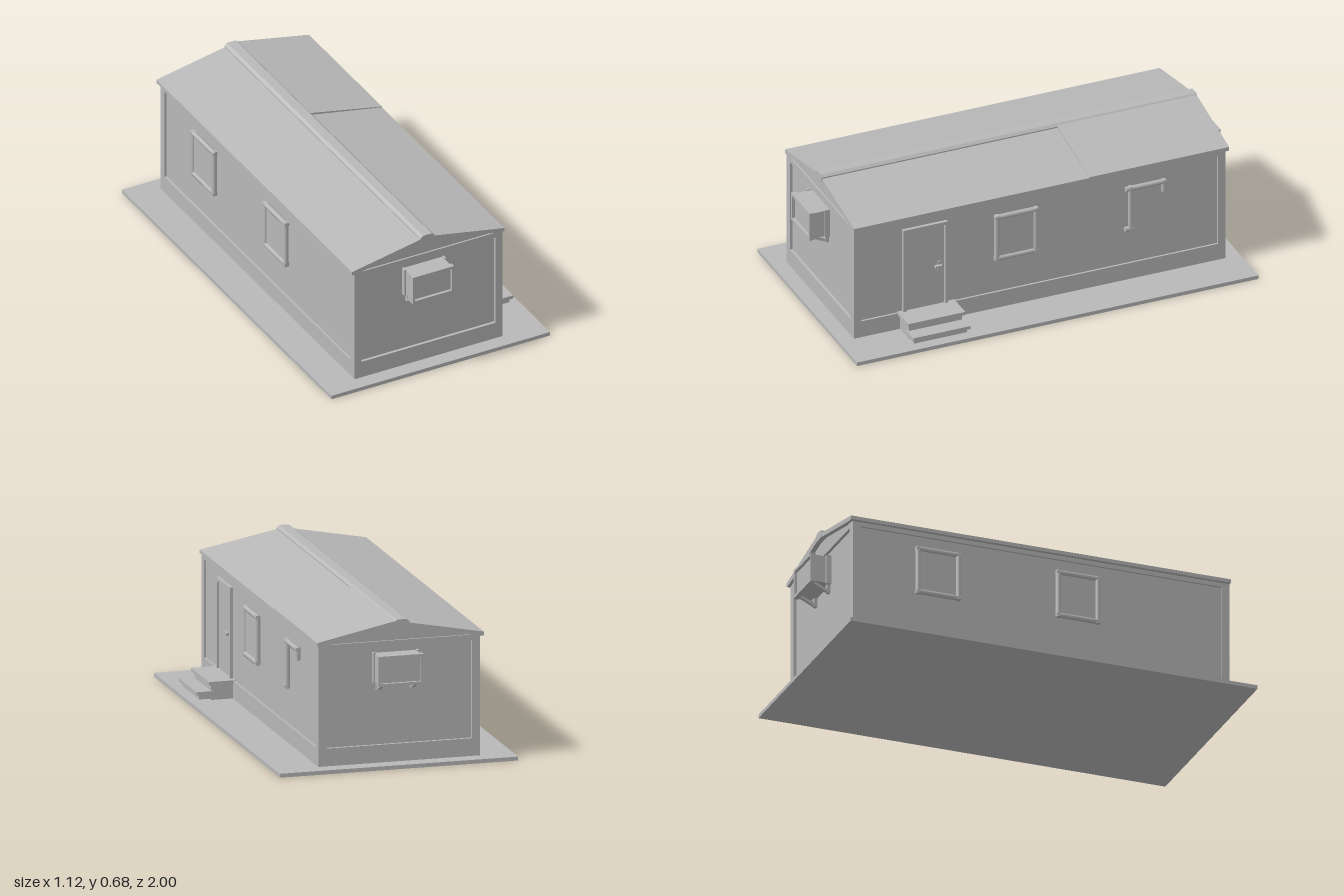
import * as THREE from 'three';

export function createModel() {
  const model = new THREE.Group();
  const grey = new THREE.MeshStandardMaterial({ color: 0xb8b8b8 });
  grey.name = 'plain grey';

  const add = (name, geometry, parent = model) => {
    const mesh = new THREE.Mesh(geometry, grey);
    mesh.name = name;
    parent.add(mesh);
    return mesh;
  };
  // Box given by its limits on each axis
  const box = (name, x0, x1, y0, y1, z0, z1, parent) => {
    const mesh = add(name, new THREE.BoxGeometry(x1 - x0, y1 - y0, z1 - z0), parent);
    mesh.position.set((x0 + x1) / 2, (y0 + y1) / 2, (z0 + z1) / 2);
    return mesh;
  };
  // Outline in the xy plane, extruded along z
  const prism = (name, points, z0, z1) => {
    const shape = new THREE.Shape(points.map(([x, y]) => new THREE.Vector2(x, y)));
    const geometry = new THREE.ExtrudeGeometry(shape, { depth: z1 - z0, bevelEnabled: false });
    geometry.translate(0, 0, z0);
    return add(name, geometry);
  };
  const group = (name) => {
    const g = new THREE.Group();
    g.name = name;
    model.add(g);
    return g;
  };

  const L = -0.402, R = 0.357, F = 0.912, B = -0.912, MID = -0.028;

  // Ground slab, recessed wall panels, plinth, corner posts and top beam
  box('groundSlab', -0.56, 0.56, 0, 0.018, -0.985, 0.985);
  box('wallPanels', L + 0.01, R - 0.01, 0.018, 0.58, B + 0.014, F - 0.014);
  box('plinth', L, R, 0.018, 0.1, B, F);
  box('topBeam', L, R, 0.555, 0.58, B, F);
  for (const [x0, x1] of [[L, L + 0.037], [R - 0.037, R]])
    for (const [z0, z1] of [[B, B + 0.037], [F - 0.037, F]])
      box('cornerPost', x0, x1, 0.1, 0.555, z0, z1);

  // Gables and pitched roof
  prism('gables', [[L, 0.58], [R, 0.58], [MID, 0.65]], B + 0.008, F - 0.008);
  prism('roof', [
    [-0.416, 0.577], [-0.4, 0.575], [MID, 0.647], [0.35, 0.575], [0.366, 0.577],
    [0.366, 0.592], [MID, 0.668], [-0.416, 0.594],
  ], -0.926, 0.914);
  prism('roofOverlap', [[0.366, 0.592], [0.366, 0.596], [0.0, 0.672], [0.0, 0.66]], -0.926, -0.24);

  // Ridge cap with bevelled edges
  prism('ridgeCap', [
    [-0.066, 0.65], [-0.058, 0.64], [-0.006, 0.64], [0.004, 0.65],
    [0.004, 0.668], [-0.008, 0.679], [-0.052, 0.679], [-0.066, 0.668],
  ], -0.928, 0.917);

  // Rounded bar between two points on a side wall, coordinates (y, z)
  const bar = (x, y0, z0, y1, z1, parent, r = 0.0125) => {
    const a = new THREE.Vector3(x, y0, z0), b = new THREE.Vector3(x, y1, z1);
    const mesh = add('frameBar', new THREE.CylinderGeometry(r, r, a.distanceTo(b) + 1.6 * r, 8), parent);
    mesh.position.copy(a).add(b).multiplyScalar(0.5);
    mesh.quaternion.setFromUnitVectors(new THREE.Vector3(0, 1, 0), b.sub(a).normalize());
  };
  const windowFrame = (name, x, z0, z1) => {
    const g = group(name);
    const y0 = 0.278, y1 = 0.49, a = z0 + 0.012, b = z1 - 0.012;
    bar(x, y0, a, y1, a, g);
    bar(x, y0, b, y1, b, g);
    bar(x, y0, a, y0, b, g);
    bar(x, y1, a, y1, b, g);
    box('windowPane', x - 0.02, x + 0.004, y0, y1, a, b, g).position.x = x > 0 ? x - 0.01 : x + 0.01;
  };
  windowFrame('doorSideWindow', 0.362, 0.01, 0.225);
  windowFrame('frontSideWindow', -0.405, 0.07, 0.285);
  windowFrame('rearSideWindow', -0.405, -0.61, -0.39);

  // Partial frame at the rear of the door side
  const partial = group('partialWindowFrame');
  bar(0.362, 0.49, -0.43, 0.49, -0.605, partial);
  bar(0.362, 0.285, -0.443, 0.49, -0.443, partial);
  bar(0.362, 0.45, -0.605, 0.49, -0.605, partial);
  bar(0.362, 0.283, -0.425, 0.283, -0.443, partial);

  // Door with frame and handle
  const door = group('door');
  box('doorLeaf', 0.335, 0.353, 0.1, 0.51, 0.47, 0.655, door);
  box('doorJambFront', 0.335, 0.363, 0.1, 0.525, 0.655, 0.672, door);
  box('doorJambRear', 0.335, 0.363, 0.1, 0.525, 0.452, 0.466, door);
  box('doorHead', 0.335, 0.363, 0.51, 0.525, 0.466, 0.655, door);
  box('handlePlate', 0.35, 0.358, 0.275, 0.325, 0.485, 0.5, door);
  box('handle', 0.355, 0.372, 0.295, 0.308, 0.482, 0.515, door);

  // Two steps with overhanging treads
  const steps = group('steps');
  box('upperRiser', 0.34, 0.46, 0.018, 0.09, 0.425, 0.685, steps);
  box('upperTread', 0.34, 0.472, 0.088, 0.104, 0.415, 0.695, steps);
  box('lowerRiser', 0.45, 0.515, 0.024, 0.048, 0.425, 0.685, steps);
  box('lowerTread', 0.45, 0.53, 0.045, 0.061, 0.415, 0.695, steps);

  // Wall air conditioners; sign is the end they hang on
  for (const sign of [1, -1]) {
    const unit = group(sign > 0 ? 'frontAirConditioner' : 'rearAirConditioner');
    unit.position.x = sign > 0 ? -0.045 : -0.006;
    unit.rotation.y = sign > 0 ? 0 : Math.PI;
    box('casing', -0.1, 0.1, 0.395, 0.525, 0.89, 0.986, unit);
    box('rimTop', -0.106, 0.106, 0.517, 0.53, 0.975, 1, unit);
    box('rimBottom', -0.106, 0.106, 0.39, 0.403, 0.975, 1, unit);
    for (const s of [-1, 1]) {
      box('rimSide', s * 0.1 - 0.006, s * 0.1 + 0.006, 0.39, 0.53, 0.975, 1, unit);
      box('rearRim', s * 0.102 - 0.005, s * 0.102 + 0.005, 0.39, 0.53, 0.9, 0.925, unit);
      // Diagonal support under the casing
      const brace = box('brace', s * 0.08 - 0.008, s * 0.08 + 0.008, 0.37, 0.382, 0.895, 0.985, unit);
      brace.rotation.x = -0.45;
      box('braceFoot', s * 0.08 - 0.01, s * 0.08 + 0.01, 0.353, 0.395, 0.895, 0.914, unit);
    }
  }
  return model;
}
